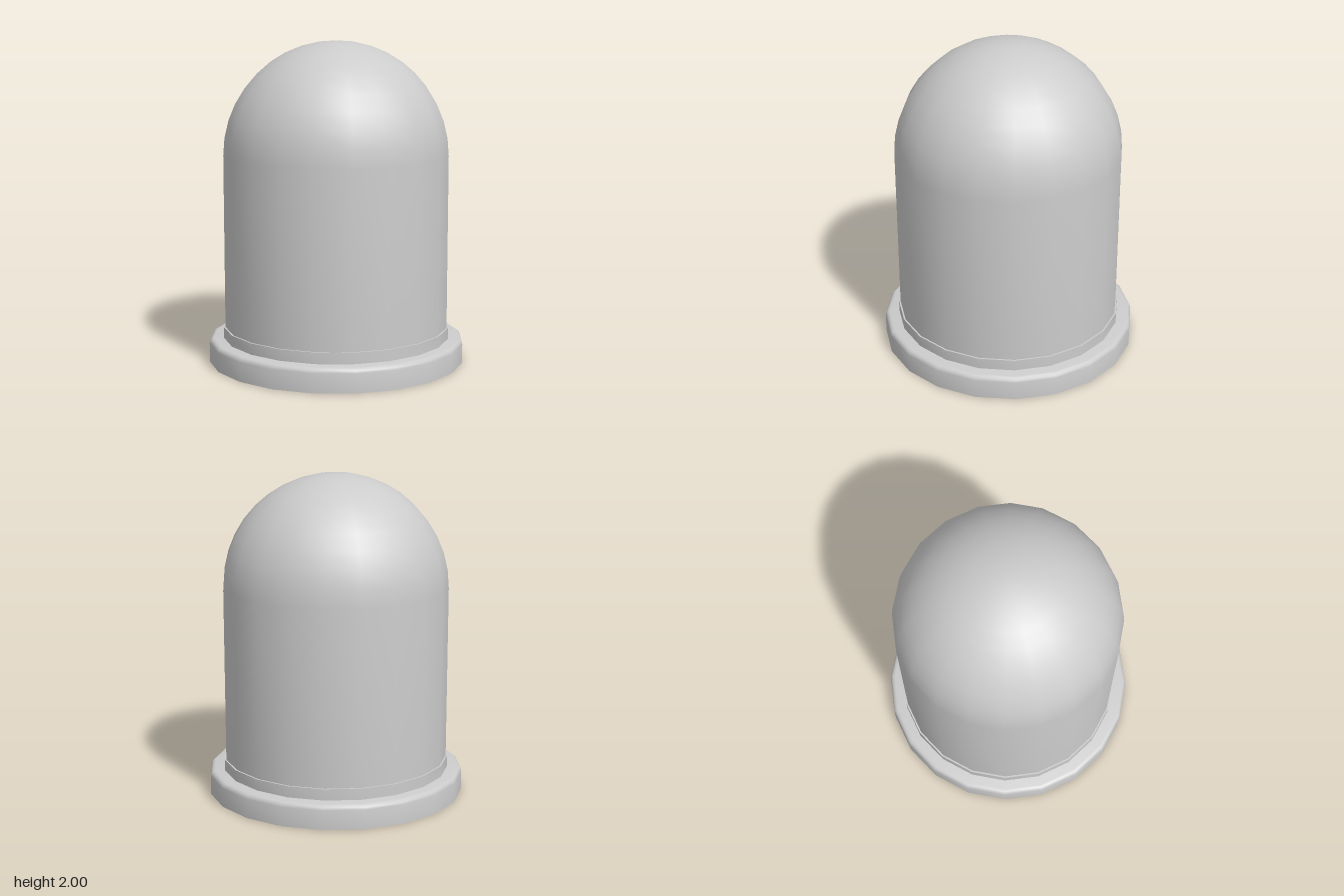
import * as THREE from 'three';
import { toCreasedNormals } from 'three/addons/utils/BufferGeometryUtils.js';

const SIDES = 20;
const material = new THREE.MeshStandardMaterial({ color: 0xcccccc });

// Points on a quarter arc from horizontal (outer) to vertical (top)
function quarterArc(cx, cy, radius, steps) {
  return Array.from({ length: steps + 1 }, (_, i) => {
    const a = (i / steps) * Math.PI / 2;
    return [i === steps ? cx : cx + radius * Math.cos(a), cy + radius * Math.sin(a)];
  });
}

// Turned part from a bottom-to-top profile, with sharp corners kept
function turned(name, profile) {
  const points = profile.map(([r, y]) => new THREE.Vector2(r, y));
  const geometry = toCreasedNormals(new THREE.LatheGeometry(points, SIDES), 0.6);
  const mesh = new THREE.Mesh(geometry, material);
  mesh.name = name;
  return mesh;
}

export function createModel() {
  const model = new THREE.Group();
  model.name = 'domeOnBase';

  // Round base with a softened upper rim
  model.add(turned('base', [[0, 0], [0.8, 0], ...quarterArc(0.77, 0.12, 0.03, 3), [0, 0.15]]));

  // Low collar that holds the dome
  model.add(turned('collar', [[0.71, 0.15], [0.71, 0.22], [0.68, 0.22]]));

  // Straight wall running into a hemispherical top
  model.add(turned('dome', [[0.7, 0.15], ...quarterArc(0, 1.3, 0.7, 10)]));

  return model;
}
